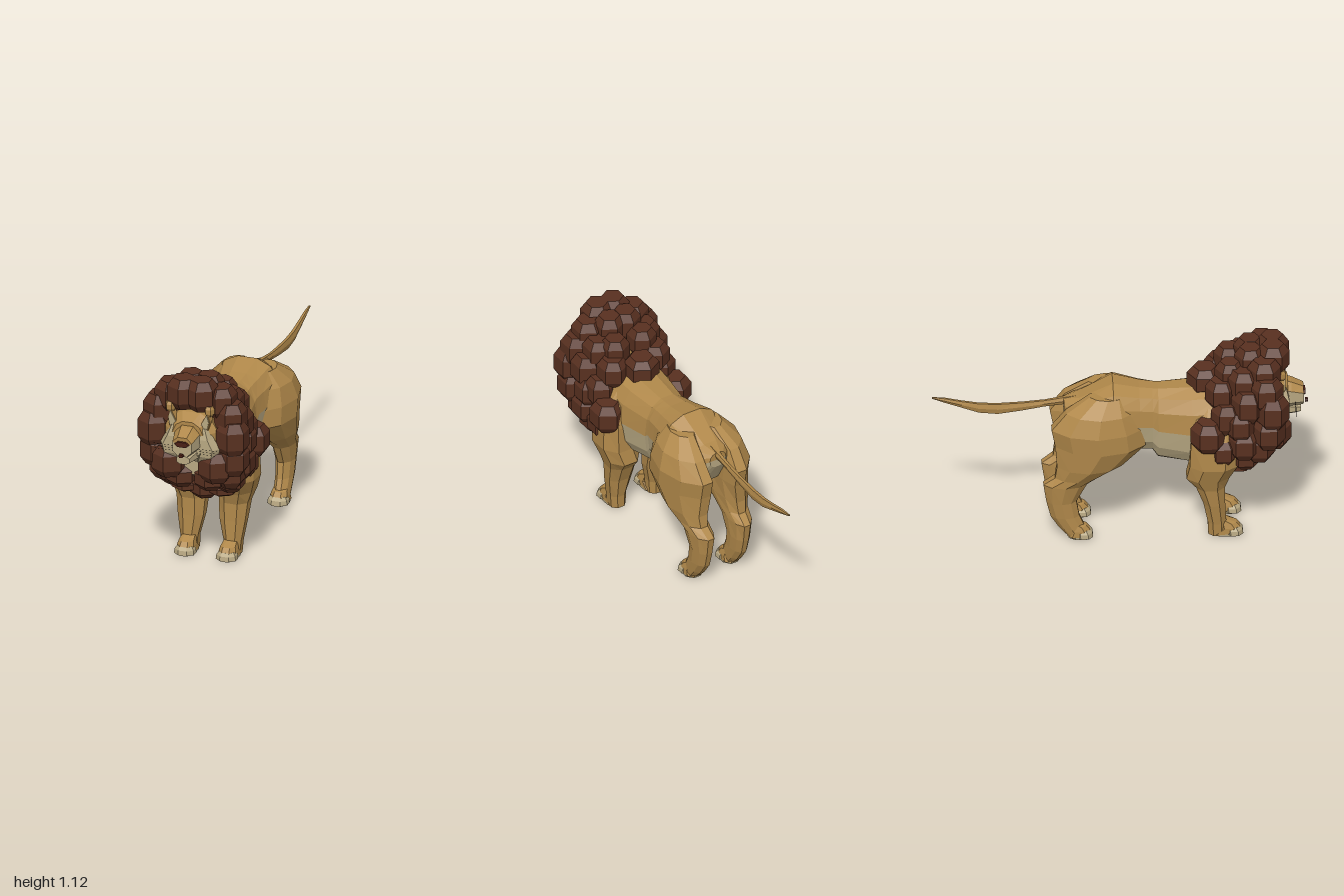
import * as THREE from 'three';

const mat = (name, color) => Object.assign(new THREE.MeshStandardMaterial({ color }), { name });

// Flat-shaded skin over a list of closed rings; pick(i) chooses material 0 or 1 per side
function loft(name, rings, mats, pick = () => 0) {
  const lists = [[], []];
  const tri = (m, ...ps) => ps.forEach(p => lists[m].push(p.x, p.y, p.z));
  const n = rings[0].length, last = rings.length - 1;
  const centre = r => r.reduce((s, p) => s.add(p), new THREE.Vector3()).divideScalar(n);
  const c0 = centre(rings[0]), c1 = centre(rings[last]);
  for (let i = 0; i < n; i++) {
    const j = (i + 1) % n, m = pick(i);
    for (let k = 0; k < last; k++) {
      const a = rings[k][i], b = rings[k][j], c = rings[k + 1][j], d = rings[k + 1][i];
      tri(m, a, d, c);
      tri(m, a, c, b);
    }
    tri(m, rings[0][i], rings[0][j], c0);
    tri(m, rings[last][j], rings[last][i], c1);
  }
  const g = new THREE.BufferGeometry();
  g.setAttribute('position', new THREE.Float32BufferAttribute([...lists[0], ...lists[1]], 3));
  g.addGroup(0, lists[0].length / 3, 0);
  if (lists[1].length) g.addGroup(lists[0].length / 3, lists[1].length / 3, 1);
  g.computeVertexNormals();
  const mesh = new THREE.Mesh(g, mats);
  mesh.name = name;
  return mesh;
}

const soft = (v, p) => Math.sign(v) * Math.abs(v) ** p;

// Rings along z: rows of [z, centre y, half width, half height], going forward
const alongZ = (rows, n = 12, p = 0.85) => rows.map(([z, y, w, h]) =>
  Array.from({ length: n }, (_, i) => {
    const a = (i + 0.5) / n * Math.PI * 2;
    return new THREE.Vector3(w * soft(Math.sin(a), p), y + h * soft(Math.cos(a), p), z);
  }));

// Rings up y: rows of [y, centre z, centre x, half depth, half width], going upward;
// bow curves the front and back ends in towards the middle
const alongY = (rows, side, n = 8, p = 0.9, bow = 0) => rows.map(([y, z, x, d, w]) =>
  Array.from({ length: n }, (_, i) => {
    const a = (i + 0.5) / n * Math.PI * 2, dz = -d * soft(Math.cos(a), p);
    return new THREE.Vector3(side * (x - bow * dz * dz) + w * soft(Math.sin(a), p), y, z + dz);
  }));

export function createModel() {
  const tan = mat('tan fur', 0xb0884a), cream = mat('cream fur', 0xb8a882);
  const brown = mat('mane brown', 0x583020), dark = mat('nose brown', 0x4a2015);
  const black = mat('whisker black', 0x1a1512);
  black.side = THREE.DoubleSide;
  const fur = [tan, cream];
  const lion = new THREE.Group();
  lion.name = 'lion';
  const add = (name, geo, m, x, y, z, parent = lion) => {
    const mesh = new THREE.Mesh(geo, m);
    mesh.name = name;
    mesh.position.set(x, y, z);
    parent.add(mesh);
    return mesh;
  };

  // Trunk with pale belly and chest
  lion.add(loft('body', alongZ([
    [-0.3, 0.74, 0.05, 0.045], [-0.22, 0.68, 0.14, 0.125], [-0.04, 0.695, 0.19, 0.203],
    [0.1, 0.675, 0.155, 0.19], [0.17, 0.665, 0.142, 0.19], [0.2, 0.64, 0.14, 0.212],
    [0.38, 0.63, 0.175, 0.232], [0.52, 0.645, 0.18, 0.225], [0.66, 0.665, 0.16, 0.215], [0.8, 0.7, 0.12, 0.15],
  ], 14), fur, i => (i >= 3 && i <= 9 ? 1 : 0)));

  // Tail, flattened and deepest at the middle
  lion.add(loft('tail', alongZ([
    [-1, 0.8, 0.006, 0.004], [-0.93, 0.783, 0.011, 0.014], [-0.85, 0.76, 0.013, 0.02],
    [-0.75, 0.733, 0.014, 0.03], [-0.65, 0.725, 0.014, 0.033], [-0.52, 0.737, 0.014, 0.026],
    [-0.4, 0.753, 0.013, 0.02], [-0.22, 0.78, 0.02, 0.025],
  ], 6), fur));

  // Legs and paws
  const foreleg = [
    [0.005, 0.51, 0.12, 0.05, 0.048], [0.08, 0.51, 0.122, 0.053, 0.053], [0.2, 0.495, 0.118, 0.062, 0.078],
    [0.3, 0.475, 0.12, 0.082, 0.087], [0.365, 0.46, 0.132, 0.122, 0.097], [0.45, 0.49, 0.155, 0.137, 0.102],
    [0.6, 0.5, 0.16, 0.14, 0.09], [0.72, 0.5, 0.14, 0.11, 0.06], [0.8, 0.49, 0.1, 0.06, 0.03],
  ];
  const hindleg = [
    [0.005, -0.235, 0.12, 0.045, 0.045], [0.06, -0.26, 0.12, 0.072, 0.046], [0.13, -0.298, 0.12, 0.08, 0.048],
    [0.22, -0.317, 0.12, 0.084, 0.052], [0.325, -0.297, 0.125, 0.122, 0.061], [0.37, -0.235, 0.13, 0.122, 0.07],
    [0.44, -0.17, 0.143, 0.18, 0.088], [0.56, -0.11, 0.153, 0.252, 0.1], [0.66, -0.125, 0.155, 0.257, 0.1],
    [0.76, -0.11, 0.135, 0.19, 0.09], [0.84, -0.07, 0.09, 0.1, 0.06],
  ];
  // Paw rows from the toe position z and the sole's half length d
  const sole = (z, d) => [[0, z - d, 0.118, d, 0.052], [0.012, z - d, 0.118, d, 0.053]];
  const upper = (z, d) => [[0.012, z - d - 0.025, 0.118, d - 0.02, 0.053], [0.045, z - 0.075, 0.118, 0.063, 0.051],
    [0.07, z - 0.085, 0.118, 0.052, 0.044], [0.09, z - 0.115, 0.118, 0.03, 0.038]];
  const toes = z => [[0.005, z - 0.047, 0.118, 0.05, 0.06], [0.03, z - 0.049, 0.118, 0.048, 0.057],
    [0.047, z - 0.055, 0.118, 0.04, 0.045]];
  for (const s of [1, -1]) {
    const side = s > 0 ? 'left' : 'right';
    lion.add(loft(side + 'FrontLeg', alongY(foreleg, s), fur));
    lion.add(loft(side + 'HindLeg', alongY(hindleg, s, 10, 1, 0.8), fur));
    for (const [end, z, d] of [['Front', 0.65, 0.088], ['Hind', -0.148, 0.068]]) {
      lion.add(loft(side + end + 'Sole', alongY(sole(z, d), s), [cream]));
      lion.add(loft(side + end + 'Paw', alongY(upper(z, d), s), fur));
      lion.add(loft(side + end + 'Toes', alongY(toes(z), s), [cream]));
    }
  }

  // Head, muzzle and chin
  const head = new THREE.Group();
  head.name = 'head';
  lion.add(head);
  head.add(loft('skull', alongZ([
    [0.6, 0.78, 0.12, 0.13], [0.76, 0.79, 0.155, 0.15], [0.83, 0.785, 0.155, 0.145], [0.89, 0.79, 0.09, 0.105],
  ]), fur, i => (i >= 3 && i <= 7 ? 1 : 0)));
  head.add(loft('muzzle', alongZ([
    [0.82, 0.8, 0.085, 0.095], [0.91, 0.79, 0.072, 0.08], [0.975, 0.78, 0.058, 0.058],
  ], 8), fur, i => (i >= 1 && i <= 5 ? 1 : 0)));
  head.add(loft('chin', alongZ([
    [0.82, 0.715, 0.075, 0.06], [0.93, 0.703, 0.048, 0.034], [0.962, 0.7, 0.04, 0.025],
  ], 8), [cream]));
  head.add(loft('nose', alongZ([[0.955, 0.798, 0.046, 0.022], [0.985, 0.797, 0.04, 0.016]], 6), [dark]));
  head.add(loft('tongueTip', alongZ([[0.984, 0.737, 0.016, 0.011], [1, 0.737, 0.013, 0.009]], 6), [dark]));

  // Ears, cheek ruffs and whiskers
  const ear = (s, k) => new THREE.Shape([[0.055, 0.855], [0.108, 0.85], [0.118, 0.9], [0.105, 0.95]]
    .map(([x, y]) => new THREE.Vector2(s * (0.094 + (x - 0.094) * k), 0.89 + (y - 0.89) * k)));
  for (const s of [1, -1]) {
    const side = s > 0 ? 'left' : 'right';
    add(side + 'Ear', new THREE.ExtrudeGeometry(ear(s, 1), { depth: 0.05, bevelEnabled: false }), tan, 0, 0, 0.82, head);
    add(side + 'InnerEar', new THREE.ExtrudeGeometry(ear(s, 0.8), { depth: 0.006, bevelEnabled: false }),
      cream, 0, 0, 0.87, head);
    head.add(loft(side + 'EarTip', alongY([[0.93, 0.85, 0.11, 0.02, 0.02], [0.945, 0.85, 0.11, 0.03, 0.027],
      [0.97, 0.85, 0.11, 0.03, 0.027], [0.985, 0.85, 0.11, 0.02, 0.02]], s, 6), fur));
    head.add(loft(side + 'Cheek', alongY([[0.65, 0.83, 0.06, 0.03, 0.03], [0.7, 0.845, 0.1, 0.05, 0.06],
      [0.745, 0.85, 0.11, 0.052, 0.058], [0.8, 0.85, 0.09, 0.052, 0.045], [0.86, 0.85, 0.08, 0.035, 0.025]], s, 6), [cream]));
    for (let i = 0; i < 3; i++)
      add(side + 'Whisker', new THREE.PlaneGeometry(0.11, 0.003), black,
        s * 0.125, 0.735 + i * 0.014, 0.93, head).rotation.x = -Math.PI / 2;
  }

  // Mane of chamfered six-sided tufts: [x, y, z, radius, half height], mirrored
  const tufts = [
    [0.05, 1.03, 0.81, 0.09, 0.085], [0.14, 0.985, 0.76, 0.09, 0.085], [0.2, 0.9, 0.77, 0.09, 0.09],
    [0.222, 0.8, 0.8, 0.09, 0.095], [0.215, 0.67, 0.78, 0.09, 0.085], [0.133, 0.63, 0.81, 0.097, 0.085],
    [0.18, 0.57, 0.73, 0.088, 0.08], [0.08, 0.535, 0.76, 0.085, 0.06], [0.16, 0.49, 0.66, 0.08, 0.055],
    [0.1, 0.42, 0.62, 0.085, 0.03], [0, 0.415, 0.62, 0.08, 0.052], [0.21, 0.72, 0.63, 0.085, 0.08],
    [0.21, 0.655, 0.46, 0.095, 0.085], [0.19, 0.55, 0.54, 0.08, 0.07], [0.205, 0.6, 0.65, 0.09, 0.08],
    [0.2, 0.83, 0.67, 0.09, 0.09], [0.185, 0.75, 0.56, 0.085, 0.085], [0, 0.885, 0.45, 0.095, 0.075],
    [0.13, 0.87, 0.53, 0.085, 0.08], [0.085, 0.955, 0.58, 0.08, 0.08], [0.14, 0.93, 0.65, 0.09, 0.085],
    [0.05, 1.015, 0.69, 0.085, 0.085],
  ];
  const profile = [[0, -1], [0.66, -1], [1, -0.5], [1, 0.5], [0.66, 1], [0, 1]].map(p => new THREE.Vector2(...p));
  const tuftGeo = new THREE.LatheGeometry(profile, 6).toNonIndexed();
  tuftGeo.computeVertexNormals();
  const mane = new THREE.Group();
  mane.name = 'mane';
  lion.add(mane);
  for (const [x, y, z, r, h] of tufts)
    for (const s of x ? [1, -1] : [1]) add('maneTuft', tuftGeo, brown, s * x, y, z, mane).scale.set(r, h, r);

  return lion;
}
